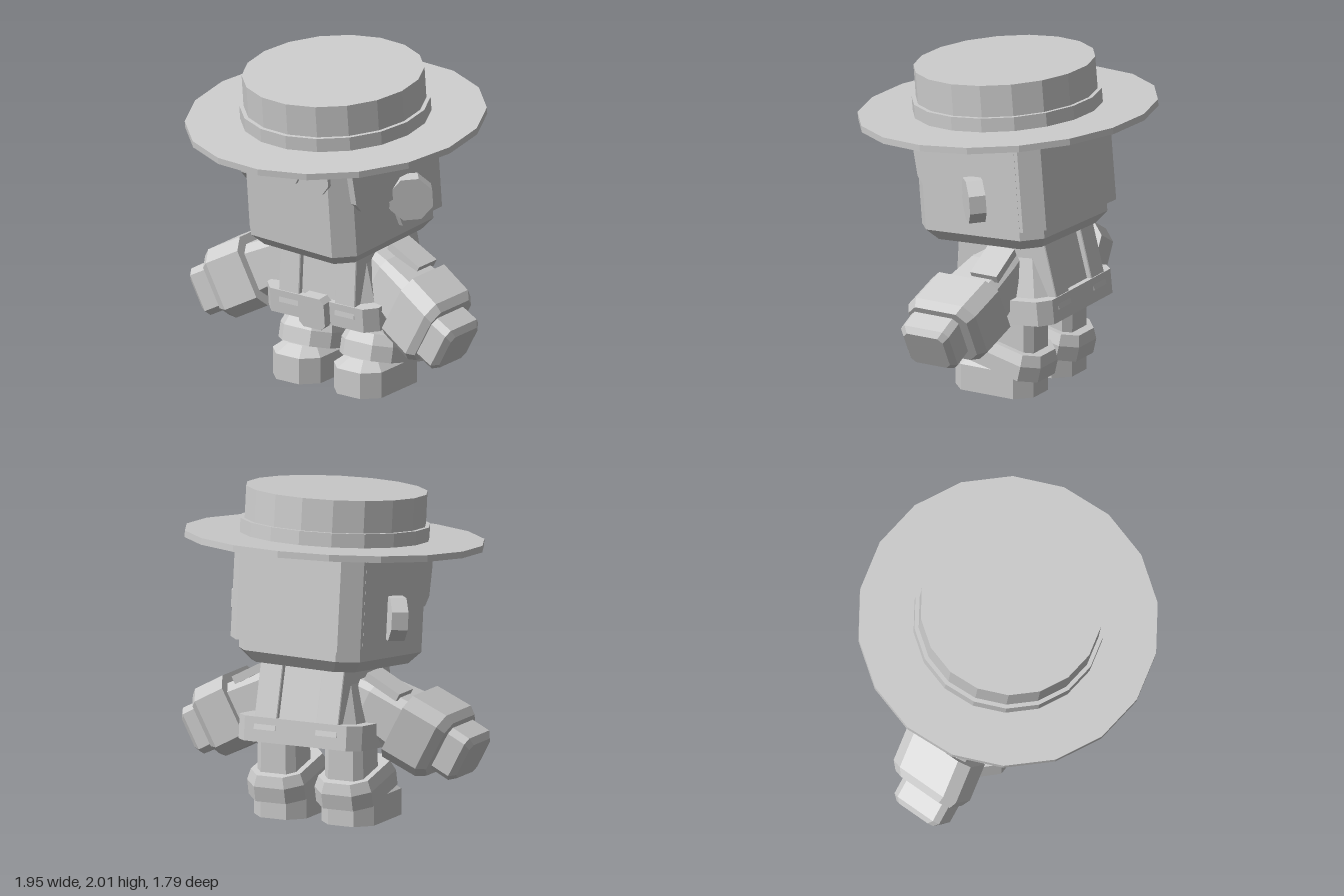
import * as THREE from 'three';

const clay = new THREE.MeshStandardMaterial({ color: 0xcccccc, flatShading: true });
clay.name = 'plain grey';

function add(parent, name, geometry, x = 0, y = 0, z = 0) {
  const mesh = new THREE.Mesh(geometry, clay);
  mesh.name = name;
  mesh.position.set(x, y, z);
  parent.add(mesh);
  return mesh;
}

function addGroup(parent, name, x, y, z) {
  const g = new THREE.Group();
  g.name = name;
  g.position.set(x, y, z);
  parent.add(g);
  return g;
}

// Chamfered solid through octagonal sections [y, halfWidth, halfDepth, chamfer, zOffset]
function loft(sections) {
  const rings = sections.map(([y, w, d, c, o = 0]) => [
    [-w + c, d], [w - c, d], [w, d - c], [w, -d + c],
    [w - c, -d], [-w + c, -d], [-w, -d + c], [-w, d - c],
  ].map(([x, z]) => [x, y, z + o]));
  const pos = [];
  const tri = (a, b, c) => pos.push(...a, ...b, ...c);
  for (let r = 0; r + 1 < rings.length; r++) {
    for (let i = 0; i < 8; i++) {
      const j = (i + 1) % 8, lo = rings[r], hi = rings[r + 1];
      tri(lo[i], lo[j], hi[j]);
      tri(lo[i], hi[j], hi[i]);
    }
  }
  const bottom = rings[0], top = rings[rings.length - 1];
  for (let i = 1; i < 7; i++) {
    tri(top[0], top[i], top[i + 1]);
    tri(bottom[0], bottom[i + 1], bottom[i]);
  }
  const g = new THREE.BufferGeometry();
  g.setAttribute('position', new THREE.Float32BufferAttribute(pos, 3));
  g.computeVertexNormals();
  return g;
}

function plate(points, depth) {
  const shape = new THREE.Shape(points.map(([x, y]) => new THREE.Vector2(x, y)));
  return new THREE.ExtrudeGeometry(shape, { depth, bevelEnabled: false });
}

const disc = (r, h) => new THREE.CylinderGeometry(r, r, h, 18, 1, false, Math.PI / 18);

function buildHead(model) {
  const head = addGroup(model, 'head', 0, 1.66, 0);
  head.rotation.set(0.089, -0.09, 0, 'YXZ');

  add(head, 'skull', loft([
    [-0.74, 0.365, 0.39, 0.09], [-0.67, 0.425, 0.45, 0.105], [0, 0.425, 0.45, 0.105],
  ]), 0, 0, 0.01);

  // Hat
  add(head, 'hatBrim', disc(0.9, 0.04));
  add(head, 'hatBand', disc(0.57, 0.1), 0, 0.055, 0);
  add(head, 'hatCrown', disc(0.545, 0.2), 0, 0.2, 0);

  // Hair: upper cap, back block, jagged fringe and side locks
  add(head, 'hairCap', loft([[-0.15, 0.455, 0.478, 0.11], [0, 0.455, 0.478, 0.11]]));
  add(head, 'backHair', loft([[-0.605, 0.455, 0.23, 0.1], [0, 0.455, 0.23, 0.1]]), 0, 0, -0.255);
  add(head, 'fringe', plate([
    [-0.34, -0.05], [-0.34, -0.2], [-0.29, -0.26], [-0.17, -0.24], [-0.13, -0.15], [-0.08, -0.24],
    [0, -0.28], [0.08, -0.24], [0.13, -0.15], [0.17, -0.24], [0.29, -0.26], [0.34, -0.2], [0.34, -0.05],
  ], 0.025), 0, 0, 0.452);
  for (const s of [-1, 1]) {
    const lock = add(head, 'sideHair', plate([
      [-0.36, 0], [-0.36, -0.605], [-0.03, -0.605], [0.04, -0.41], [0.21, -0.415],
      [0.325, -0.385], [0.365, -0.33], [0.385, -0.15], [0.385, 0],
    ], 0.045), s > 0 ? 0.456 : -0.411, 0, 0);
    lock.rotation.y = -Math.PI / 2;

    // Ear plate swept back from the side of the head
    const ear = new THREE.CylinderGeometry(0.14, 0.14, 0.1, 8, 1, false, Math.PI / 8);
    ear.rotateX(Math.PI / 2);
    ear.rotateY(s * 0.8);
    add(head, 'ear', ear, s * 0.495, -0.42, -0.07);
  }
}

function buildTorso(model) {
  const torso = addGroup(model, 'torso', 0, 0.535, -0.16);
  torso.rotation.x = 0.1;
  add(torso, 'chest', loft([[0, 0.36, 0.33, 0.09], [0.42, 0.25, 0.26, 0.07]]));
  add(torso, 'belt', loft([[-0.075, 0.41, 0.355, 0.07], [0.075, 0.41, 0.355, 0.07]]));
  const buckle = loft([[-0.04, 0.095, 0.1, 0.03], [0.04, 0.095, 0.1, 0.03]]);
  buckle.rotateX(Math.PI / 2);
  add(torso, 'buckle', buckle, 0, 0.005, 0.37);
  // Each strap wraps over the front and back
  for (const s of [-1, 1]) {
    add(torso, 'strap', loft([[0, 0.075, 0.36, 0.005], [0.42, 0.075, 0.295, 0.005]]), s * 0.205, 0, 0);
  }
}

function buildArm(model, s) {
  const arm = addGroup(model, s > 0 ? 'leftArm' : 'rightArm', s * 0.25, 0.76, -0.12);
  arm.rotation.z = -s * 2.06;
  add(arm, 'sleeve', loft([
    [-0.06, 0.1, 0.12, 0.03], [0.08, 0.14, 0.16, 0.04, 0.02], [0.36, 0.17, 0.19, 0.05, 0.06],
  ]));
  add(arm, 'cuff', loft([
    [0.32, 0.22, 0.23, 0.07, 0.06], [0.55, 0.22, 0.23, 0.07, 0.1], [0.6, 0.19, 0.2, 0.06, 0.11],
  ]));
  add(arm, 'fist', loft([
    [0.55, 0.15, 0.165, 0.035, 0.13], [0.72, 0.15, 0.165, 0.035, 0.14], [0.755, 0.12, 0.135, 0.03, 0.14],
  ]));
  add(arm, 'shoulderTab', new THREE.BoxGeometry(0.05, 0.24, 0.18), -s * 0.165, 0.13, -0.04);
}

function buildLeg(model, s) {
  const leg = addGroup(model, s > 0 ? 'leftLeg' : 'rightLeg', s * 0.225, 0, 0);
  add(leg, 'shin', loft([[0.2, 0.13, 0.14, 0.045], [0.52, 0.125, 0.14, 0.045]]), 0, 0, -0.22);
  const cuff = add(leg, 'bootCuff', loft([
    [-0.075, 0.19, 0.255, 0.09], [0.02, 0.19, 0.255, 0.09], [0.085, 0.165, 0.23, 0.08],
  ]), 0, 0.235, -0.165);
  cuff.rotation.x = -0.23;
  add(leg, 'boot', loft([
    [0, 0.175, 0.27, 0.09], [0.16, 0.175, 0.27, 0.09], [0.215, 0.11, 0.2, 0.06, -0.01],
  ]), 0, 0, -0.09);
}

export function createModel() {
  const model = new THREE.Group();
  model.name = 'figure';
  buildHead(model);
  buildTorso(model);
  for (const s of [-1, 1]) {
    buildArm(model, s);
    buildLeg(model, s);
  }
  return model;
}
